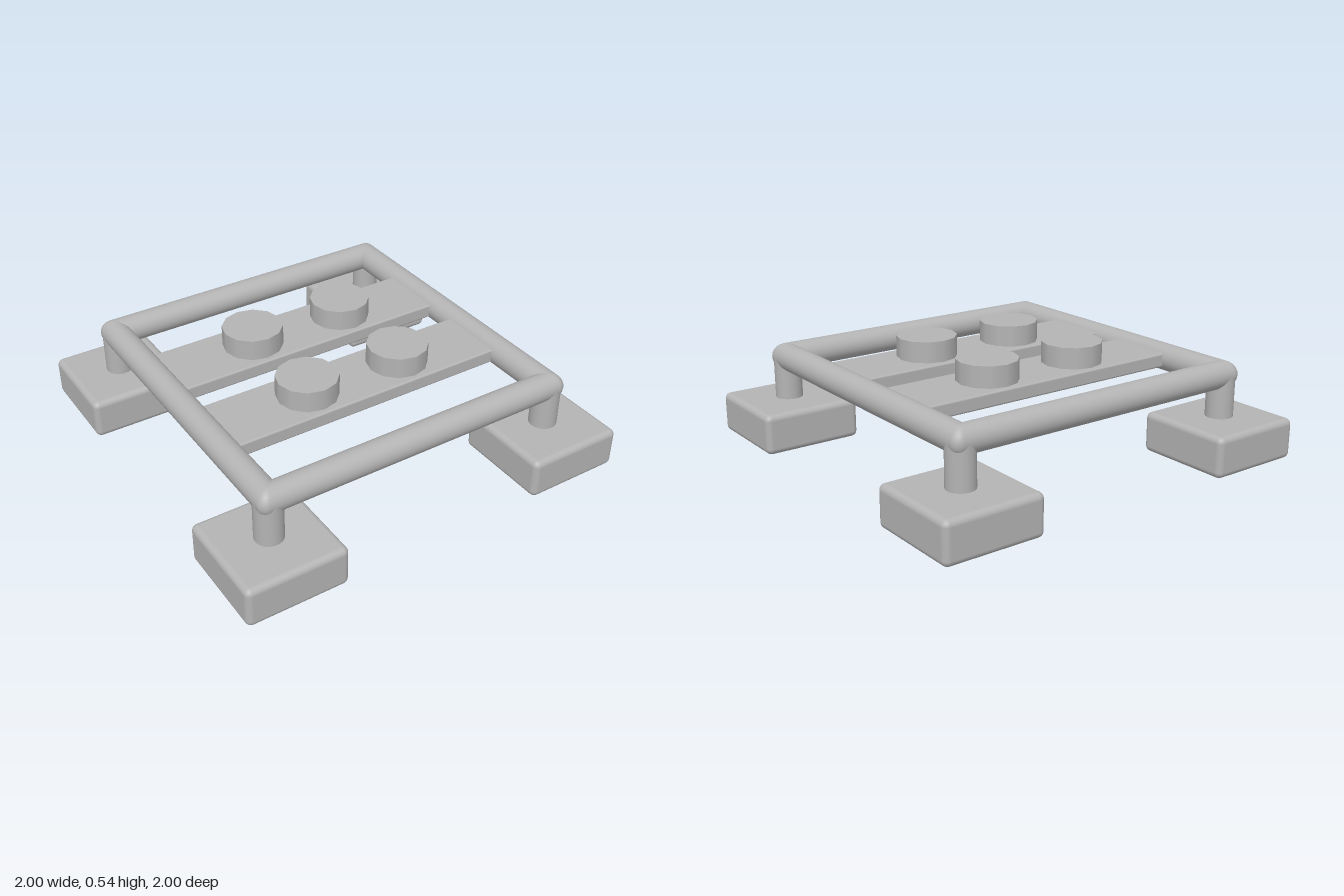
import * as THREE from 'three';
import { RoundedBoxGeometry } from 'three/addons/geometries/RoundedBoxGeometry.js';

const PIPE = 0.067;   // pipe radius
const HALF = 0.753;   // half size of the frame's centre line
const FRAME_Y = 0.405;

// Round pipe around a square: sharp mitres inside, softened corners outside
function frameGeometry(sides = 24, arc = 6) {
  const pos = [], nor = [], idx = [];
  const perRing = 4 * (arc + 1);
  for (let i = 0; i <= sides; i++) {
    const a = (i / sides) * Math.PI * 2;
    const c = Math.cos(a), s = Math.sin(a);
    const size = HALF + PIPE * c;
    const round = Math.max(0, 0.045 * c);
    for (let q = 0; q < 4; q++) {
      const mid = q * Math.PI / 2 + Math.PI / 4;
      const cx = Math.sign(Math.cos(mid)) * (size - round);
      const cz = Math.sign(Math.sin(mid)) * (size - round);
      for (let k = 0; k <= arc; k++) {
        const t = (q + k / arc) * Math.PI / 2;
        const dx = Math.cos(t), dz = Math.sin(t);
        pos.push(cx + dx * round, PIPE * s, cz + dz * round);
        nor.push(dx * c, s, dz * c);
      }
    }
  }
  for (let i = 0; i < sides; i++) {
    for (let j = 0; j < perRing; j++) {
      const n = (j + 1) % perRing;
      const a = i * perRing + j, b = i * perRing + n;
      const d = a + perRing, e = b + perRing;
      idx.push(a, d, b, b, d, e);
    }
  }
  const g = new THREE.BufferGeometry();
  g.setAttribute('position', new THREE.Float32BufferAttribute(pos, 3));
  g.setAttribute('normal', new THREE.Float32BufferAttribute(nor, 3));
  g.setIndex(idx);
  return g;
}

export function createModel() {
  const model = new THREE.Group();
  model.name = 'tableFrame';
  const grey = new THREE.MeshStandardMaterial({ color: 0xb4b4b4 });
  grey.name = 'grey';

  const add = (name, geometry, x, y, z) => {
    const mesh = new THREE.Mesh(geometry, grey);
    mesh.name = name;
    mesh.position.set(x, y, z);
    model.add(mesh);
  };

  // Square pipe frame
  add('frame', frameGeometry(), 0, FRAME_Y, 0);

  // Legs and block feet at the four corners
  const legGeo = new THREE.CylinderGeometry(PIPE, PIPE, FRAME_Y - 0.15, 24);
  const footGeo = new RoundedBoxGeometry(0.495, 0.2, 0.495, 3, 0.03);
  for (const sx of [-1, 1]) {
    for (const sz of [-1, 1]) {
      add('leg', legGeo, sx * HALF, (FRAME_Y + 0.15) / 2, sz * HALF);
      add('foot', footGeo, sx * 0.7525, 0.1, sz * 0.7525);
    }
  }

  // Two cross slats, each with two round studs
  const slatGeo = new RoundedBoxGeometry(1.44, 0.07, 0.345, 2, 0.01);
  const studGeo = new THREE.CylinderGeometry(0.148, 0.148, 0.13, 12);
  for (const z of [-0.25, 0.25]) {
    add('slat', slatGeo, 0, 0.405, z);
    for (const x of [-0.25, 0.25]) add('stud', studGeo, x, 0.478, z);
  }
  return model;
}
